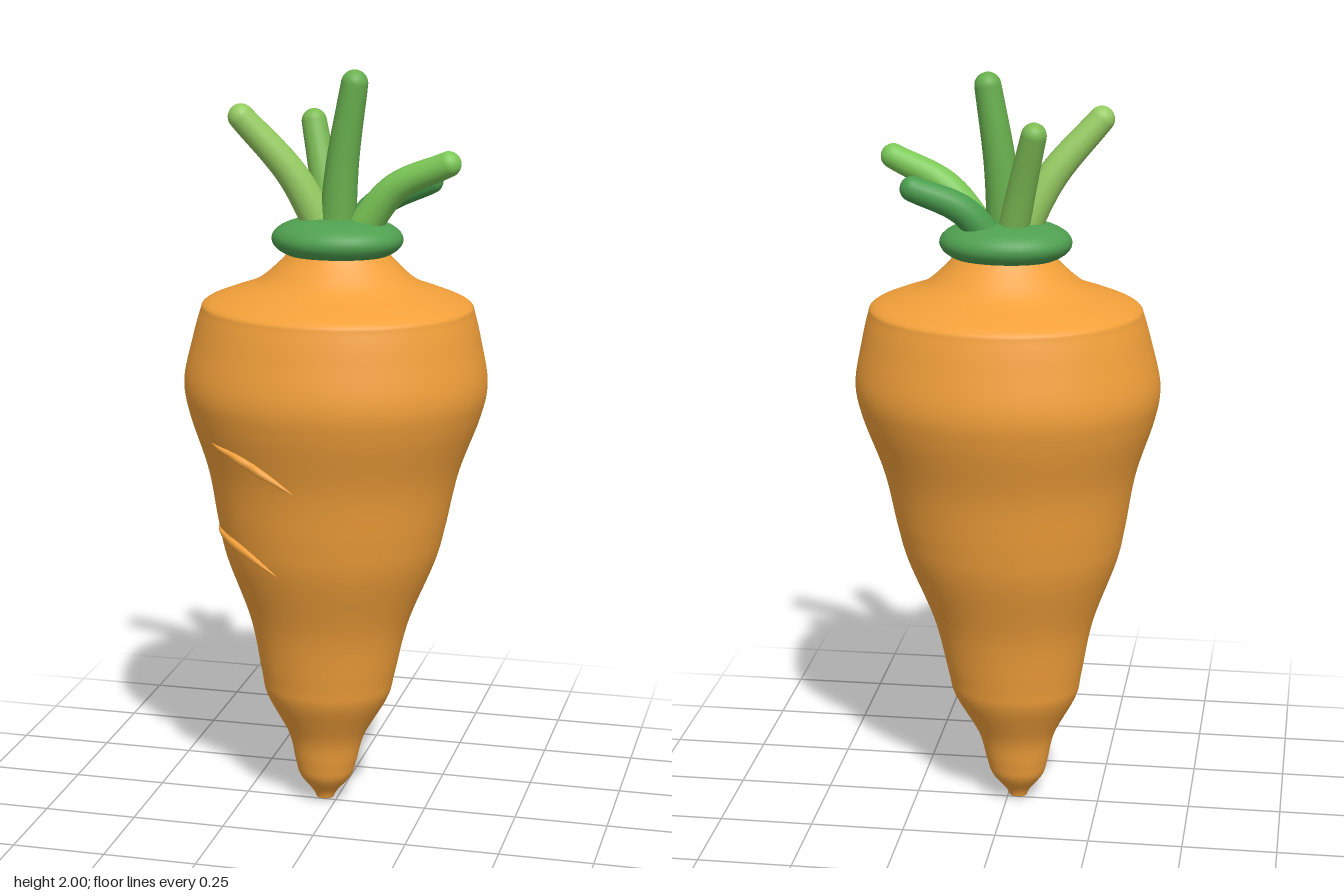
import * as THREE from 'three';

const DEPTH = 0.886; // the root is slightly flattened front to back
const mat = (color) => new THREE.MeshStandardMaterial({ color });

// Root outline as (radius, height), from the tip to the neck
const outline = new THREE.SplineCurve([
  [0.024, 0.01], [0.034, 0.03], [0.07, 0.075], [0.084, 0.12], [0.105, 0.2], [0.165, 0.31],
  [0.182, 0.38], [0.215, 0.53], [0.28, 0.7], [0.305, 0.8], [0.335, 0.95], [0.386, 1.1],
  [0.401, 1.19], [0.38, 1.3], [0.362, 1.37], [0.35, 1.395], [0.3, 1.417], [0.215, 1.45],
  [0.155, 1.5], [0.12, 1.54],
].map(([r, y]) => new THREE.Vector2(r, y))).getPoints(140);

const lean = (y) => 0.025 * y - 0.03;

// Tube whose radius follows a rule along its length
function taperedTube(path, segments, sides, radiusAt) {
  const geo = new THREE.TubeGeometry(path, segments, 1, sides);
  const p = geo.attributes.position, uv = geo.attributes.uv;
  const v = new THREE.Vector3();
  for (let i = 0; i < p.count; i++) {
    const c = path.getPointAt(uv.getX(i));
    v.fromBufferAttribute(p, i).sub(c).multiplyScalar(radiusAt(uv.getX(i))).add(c);
    p.setXYZ(i, v.x, v.y, v.z);
  }
  return geo;
}

// Front surface of the root at a given x and y
function onRoot(x, y) {
  const r = outline.find((q) => q.y >= y).x;
  const dx = Math.min(Math.abs(x - lean(y)), r) / r;
  return new THREE.Vector3(x, y, r * DEPTH * Math.sqrt(1 - dx * dx));
}

export function createModel() {
  const model = new THREE.Group();
  const add = (name, geo, material, parent = model) => {
    const mesh = new THREE.Mesh(geo, material);
    mesh.name = name;
    parent.add(mesh);
    return mesh;
  };

  // Root, closed at the tip and leaning a little
  const orange = mat(0xf2a03a);
  const rootGeo = new THREE.LatheGeometry([new THREE.Vector2(0, 0), ...outline], 72);
  rootGeo.scale(1, 1, DEPTH);
  rootGeo.applyMatrix4(new THREE.Matrix4().set(
    1, 0.025, 0, -0.03, 0, 1, 0, 0, 0, 0, 1, 0, 0, 0, 0, 1));
  add('root', rootGeo, orange);

  // Slim raised creases on the front
  const creases = [[-0.27, 1.055, -0.04, 0.95], [-0.3, 0.79, -0.1, 0.71]];
  for (const [x0, y0, x1, y1] of creases) {
    const pts = [];
    for (let i = 0; i <= 8; i++) {
      const t = i / 8;
      pts.push(onRoot(x0 + (x1 - x0) * t, y0 + (y1 - y0) * t + 0.014 * Math.sin(Math.PI * t)));
    }
    add('crease', taperedTube(new THREE.CatmullRomCurve3(pts), 24, 8,
      (u) => 0.001 + 0.011 * Math.sin(Math.PI * u)), orange);
  }

  // Rounded leaf collar
  const rim = [];
  for (let i = 0; i <= 20; i++) {
    const a = -Math.PI / 2 + (Math.PI * i) / 20;
    rim.push(new THREE.Vector2(0.173 * Math.pow(Math.max(Math.cos(a), 0), 0.8), 0.058 * Math.sin(a)));
  }
  const collar = add('leafCollar', new THREE.LatheGeometry(rim, 40), mat(0x4fa050));
  collar.scale.z = 0.84;
  collar.position.set(0.005, 1.563, 0.002);

  // Stems: base, middle, tip, base radius, tip radius, colour
  const stems = [
    ['centreStem', [0.005, 1.56, 0.01], [0.02, 1.76, 0.008], [0.052, 1.965, 0.01], 0.05, 0.035, 0x68b04e],
    ['leftStem', [-0.02, 1.56, 0.0], [-0.11, 1.73, 0.025], [-0.235, 1.878, 0.06], 0.047, 0.034, 0x96cc62],
    ['backStem', [-0.01, 1.56, -0.02], [-0.045, 1.72, -0.05], [-0.078, 1.855, -0.083], 0.042, 0.033, 0x7cbc54],
    ['rightStem', [0.05, 1.56, 0.0], [0.16, 1.7, 0.02], [0.305, 1.772, 0.045], 0.046, 0.033, 0x7cc957],
    ['backRightStem', [0.03, 1.56, -0.03], [0.11, 1.655, -0.055], [0.235, 1.71, -0.074], 0.044, 0.033, 0x4a9e4e],
  ];
  for (const [name, a, b, c, r0, r1, color] of stems) {
    const stem = new THREE.Group();
    stem.name = name;
    const material = mat(color);
    const path = new THREE.CatmullRomCurve3([a, b, c].map((p) => new THREE.Vector3(...p)));
    add('stalk', taperedTube(path, 20, 20, (u) => r0 + (r1 - r0) * u), material, stem);
    add('tip', new THREE.SphereGeometry(r1, 20, 14), material, stem).position.set(...c);
    model.add(stem);
  }
  return model;
}
